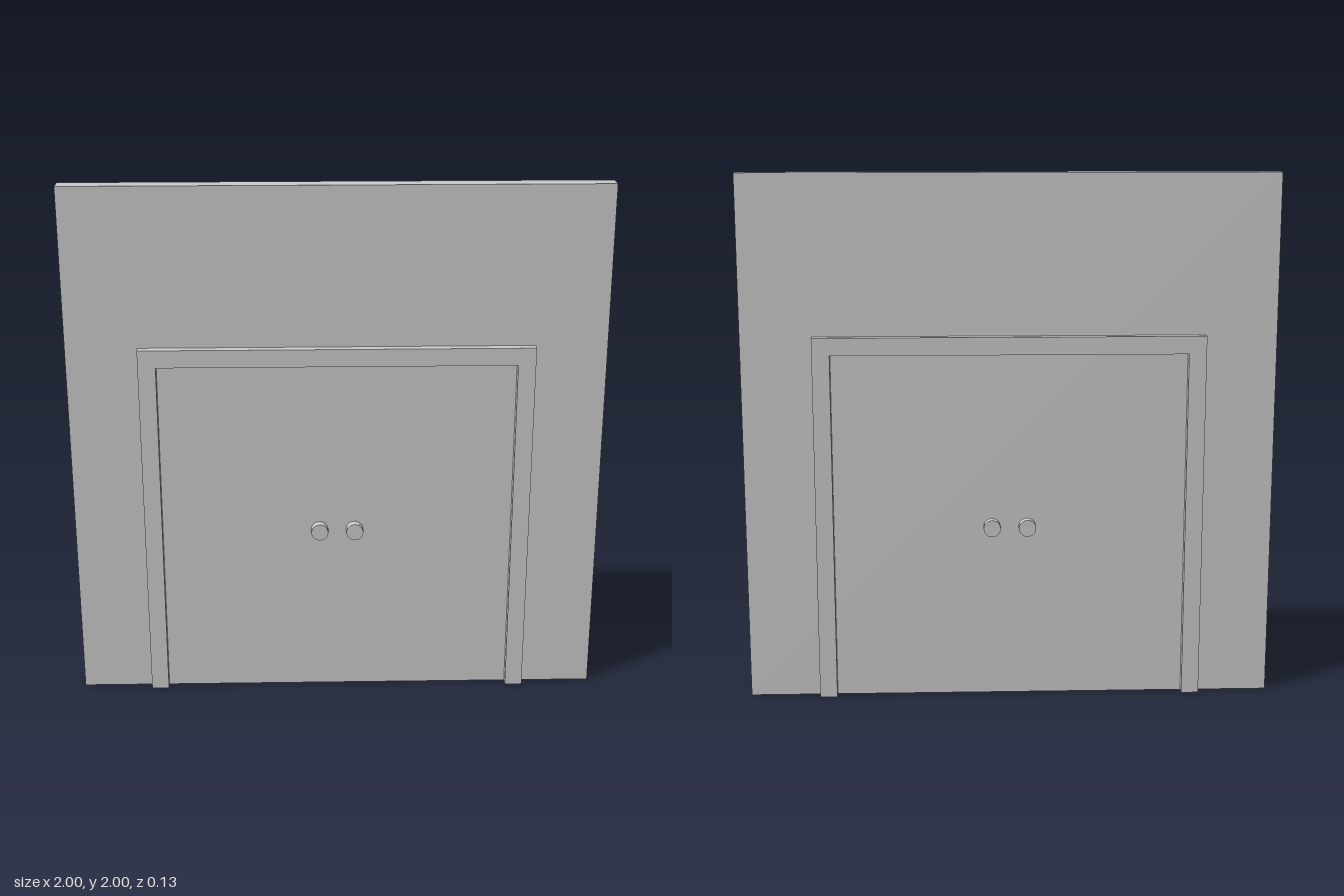
import * as THREE from 'three';

const WALL_DEPTH = 0.067;
const TRIM_DEPTH = 0.133;

export function createModel() {
  const model = new THREE.Group();
  model.name = 'doubleDoorWall';
  const material = new THREE.MeshStandardMaterial({ color: 0xcccccc, flatShading: true });

  const add = (name, geometry, x, y, z) => {
    const mesh = new THREE.Mesh(geometry, material);
    mesh.name = name;
    mesh.position.set(x, y, z);
    model.add(mesh);
    return mesh;
  };

  // Wall slab with the closed doors flush in it
  add('wall', new THREE.BoxGeometry(2, 2, WALL_DEPTH), 0, 1, 0);

  // Door frame: one arch standing proud of both faces
  const outerX = 0.733, innerX = 0.667, outerY = 1.4, innerY = 1.333;
  const arch = new THREE.Shape([
    [-outerX, 0], [-innerX, 0], [-innerX, innerY], [innerX, innerY],
    [innerX, 0], [outerX, 0], [outerX, outerY], [-outerX, outerY],
  ].map(([x, y]) => new THREE.Vector2(x, y)));
  const frame = new THREE.ExtrudeGeometry(arch, { depth: TRIM_DEPTH, bevelEnabled: false });
  add('doorFrame', frame, 0, 0, -TRIM_DEPTH / 2);

  // Round knobs, each a short bar passing through to both faces
  const knob = new THREE.CylinderGeometry(0.033, 0.033, TRIM_DEPTH, 12).rotateX(Math.PI / 2);
  for (const [name, side] of [['leftKnob', 1], ['rightKnob', -1]]) {
    add(name, knob, side * 0.067, 0.667, 0);
  }

  return model;
}
